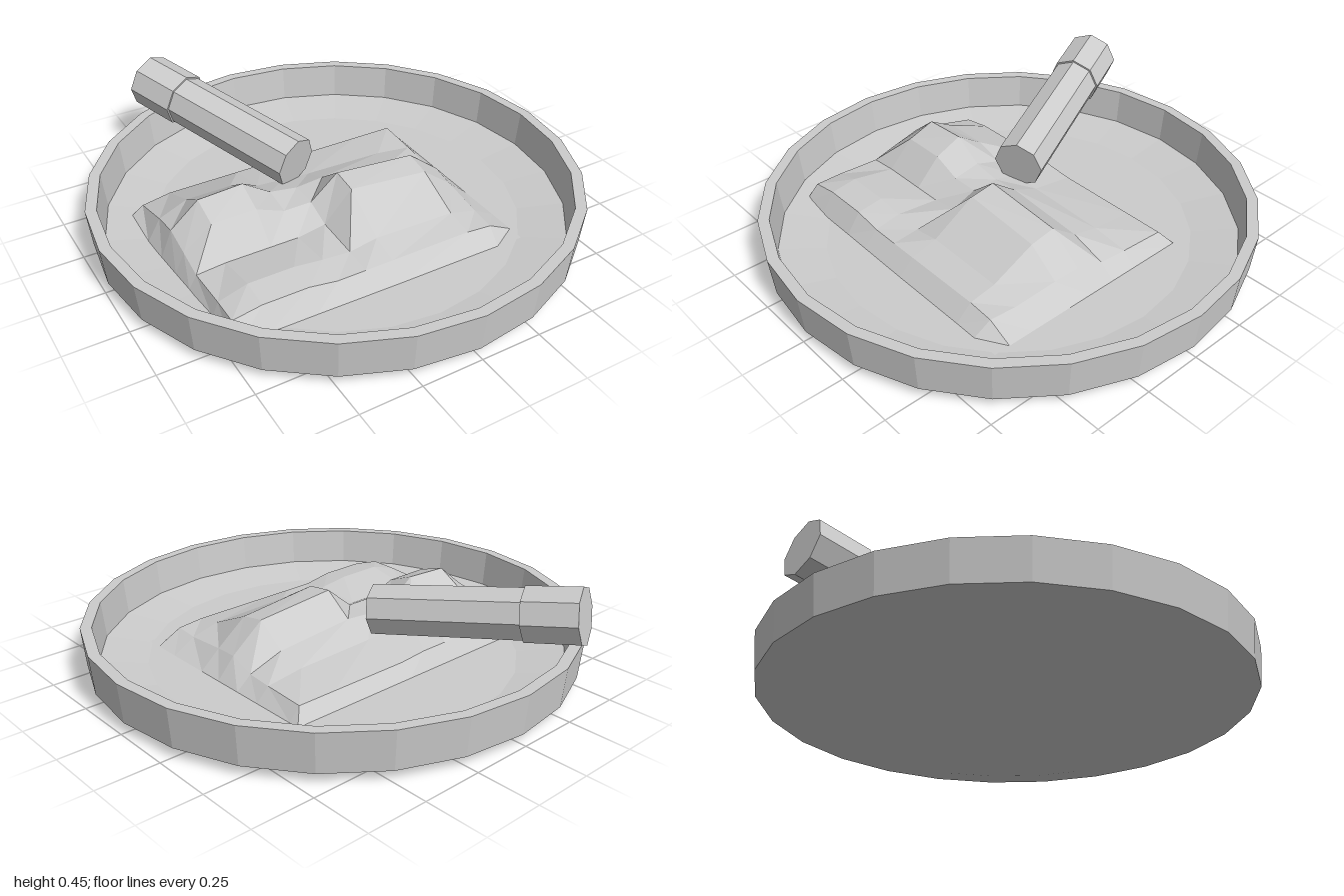
import * as THREE from 'three';

const grey = () => new THREE.MeshStandardMaterial({ color: 0xcccccc, flatShading: true });

function addMesh(parent, name, geometry, material = grey()) {
  const mesh = new THREE.Mesh(geometry, material);
  mesh.name = name;
  parent.add(mesh);
  return mesh;
}

// Shallow round tray with a raised rim and a sloping inner edge
function trayGeometry() {
  const profile = [
    [0, 0], [0.77, 0], [0.985, 0.04], [1, 0.2],
    [0.955, 0.2], [0.94, 0.05], [0.75, 0.025], [0, 0.025],
  ].map(([r, y]) => new THREE.Vector2(r, y));
  return new THREE.LatheGeometry(profile, 24);
}

// Lumpy ash heap: a height grid whose border falls to the tray floor
function ashGeometry() {
  const xs = [-0.7, -0.58, -0.39, -0.27, -0.15, -0.03, 0.32, 0.46];
  const zs = [-0.37, -0.18, -0.06, 0.06, 0.17, 0.36, 0.475];
  const heights = [
    [0.07, 0.09, 0.09, 0.09, 0.09, 0.08, 0.08, 0.08],
    [0.12, 0.17, 0.17, 0.13, 0.12, 0.11, 0.10, 0.08],
    [0.14, 0.24, 0.25, 0.17, 0.15, 0.16, 0.13, 0.08],
    [0.11, 0.20, 0.20, 0.15, 0.15, 0.25, 0.22, 0.11],
    [0.08, 0.09, 0.09, 0.09, 0.11, 0.235, 0.20, 0.10],
    [0.09, 0.125, 0.125, 0.11, 0.10, 0.12, 0.11, 0.08],
    [0.09, 0.11, 0.11, 0.09, 0.09, 0.09, 0.09, 0.08],
  ];
  const cols = xs.length + 2, rows = zs.length + 2;
  const clamp = THREE.MathUtils.clamp;
  const positions = [], index = [];
  for (let r = 0; r < rows; r++) {
    for (let c = 0; c < cols; c++) {
      const border = r === 0 || c === 0 || r === rows - 1 || c === cols - 1;
      const i = clamp(r - 1, 0, zs.length - 1), j = clamp(c - 1, 0, xs.length - 1);
      let x = xs[j], z = zs[i];
      // the outline is nearly square, narrowing slightly at the front left
      if (c === 0) x = THREE.MathUtils.lerp(-0.77, -0.71, r / (rows - 1));
      if (c === cols - 1) x = 0.535;
      if (r === 0) z = -0.415;
      if (r === rows - 1) z = THREE.MathUtils.lerp(0.53, 0.545, c / (cols - 1));
      // the right-hand edge of the heap leans outward at the back
      if (c === cols - 2) x += THREE.MathUtils.lerp(0.04, -0.04, r / (rows - 1));
      positions.push(x, border ? 0.027 : heights[i][j], z);
      if (r < rows - 1 && c < cols - 1) {
        const a = r * cols + c, b = a + 1, d = a + cols;
        index.push(a, d, b, b, d, d + 1);
      }
    }
  }
  const geometry = new THREE.BufferGeometry();
  geometry.setAttribute('position', new THREE.Float32BufferAttribute(positions, 3));
  geometry.setIndex(index);
  geometry.computeVertexNormals();
  return geometry;
}

// Octagonal stub lying from the ash to the rim, with a slightly wider end
function createStub() {
  const near = new THREE.Vector3(-0.105, 0.21, -0.145);
  const far = new THREE.Vector3(-0.428, 0.333, -0.905);
  const length = near.distanceTo(far);
  const split = length * 0.74;
  const section = (radius, from, to) =>
    new THREE.CylinderGeometry(radius, radius, to - from, 8)
      .translate(0, (from + to) / 2, 0)
      .rotateX(Math.PI / 2);

  const stub = new THREE.Group();
  stub.name = 'stub';
  addMesh(stub, 'stubBody', section(0.107, 0, split));
  addMesh(stub, 'stubFilter', section(0.115, split, length));
  stub.position.copy(near);
  stub.lookAt(far);
  return stub;
}

export function createModel() {
  const model = new THREE.Group();
  model.name = 'ashtray';
  addMesh(model, 'tray', trayGeometry());
  const ash = addMesh(model, 'ashHeap', ashGeometry());
  ash.material.side = THREE.DoubleSide;
  model.add(createStub());
  return model;
}
